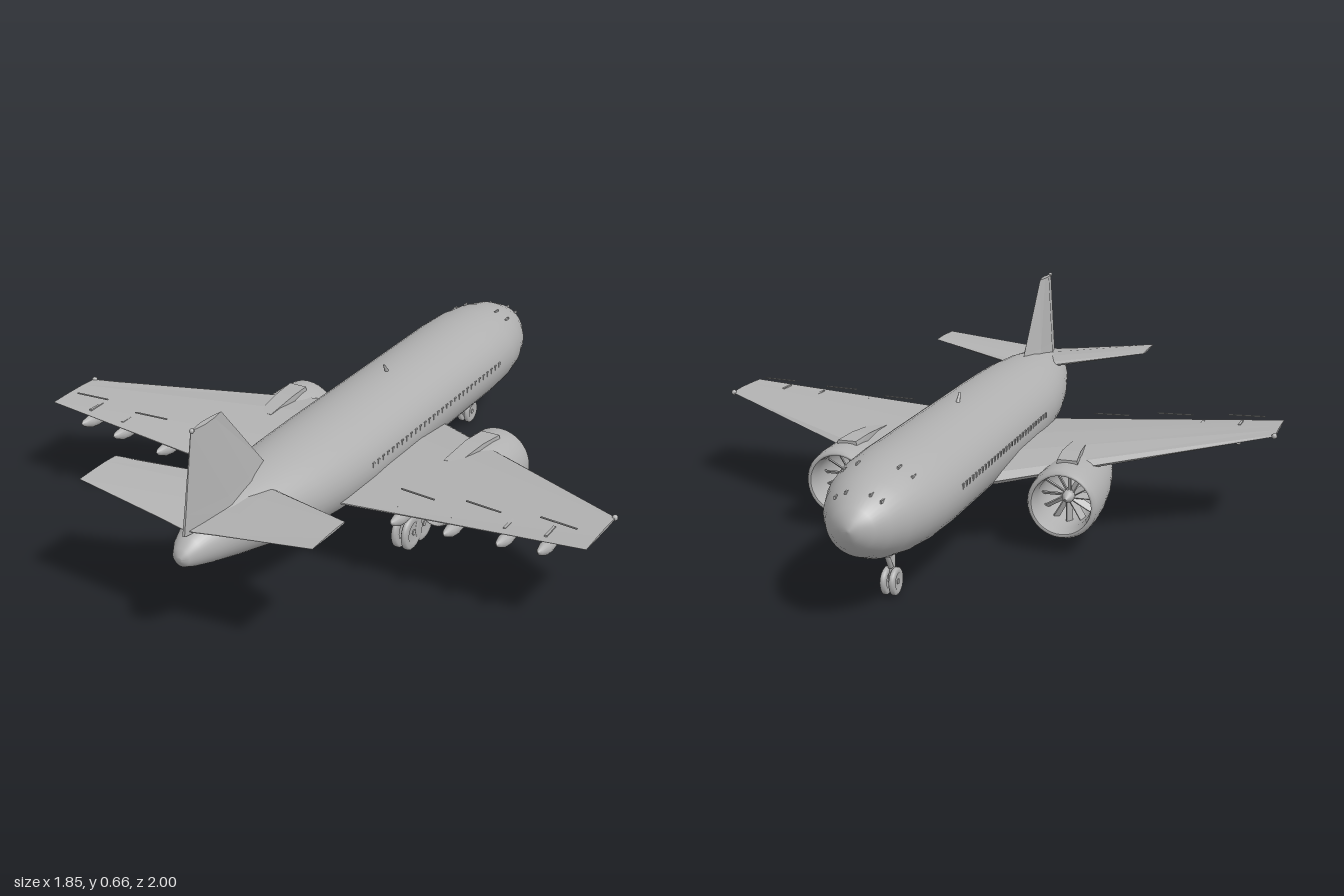
import * as THREE from 'three';

const grey = new THREE.MeshStandardMaterial({ color: 0xb0b0b0, side: THREE.DoubleSide });
grey.name = 'plain grey';
const greyFlat = grey; // one colour throughout; faceted parts use unshared vertices

// Skin rings of equal point count; rings run counter-clockwise about the advance direction
function loft(rings, flat) {
  const n = rings[0].length, pos = [], idx = [];
  rings.forEach(r => r.forEach(p => pos.push(...p)));
  for (let i = 0; i < rings.length - 1; i++) {
    for (let j = 0; j < n; j++) {
      const a = i * n + j, b = i * n + (j + 1) % n;
      idx.push(a, b, a + n, b, b + n, a + n);
    }
  }
  const last = (rings.length - 1) * n;
  for (let j = 1; j < n - 1; j++) idx.push(0, j + 1, j, last, last + j, last + j + 1);
  let g = new THREE.BufferGeometry();
  g.setAttribute('position', new THREE.Float32BufferAttribute(pos, 3));
  g.setIndex(idx);
  if (flat) g = g.toNonIndexed();
  g.computeVertexNormals();
  return g;
}

function add(parent, name, geo, x = 0, y = 0, z = 0) {
  const m = new THREE.Mesh(geo, greyFlat);
  m.name = name;
  m.position.set(x, y, z);
  parent.add(m);
  return m;
}

// Straight rod between two points
function rod(parent, name, a, b, r, r2 = r) {
  const A = new THREE.Vector3(...a), B = new THREE.Vector3(...b);
  const d = B.clone().sub(A);
  const m = add(parent, name, new THREE.CylinderGeometry(r2, r, d.length(), 10));
  m.position.copy(A).add(B).multiplyScalar(0.5);
  m.quaternion.setFromUnitVectors(new THREE.Vector3(0, 1, 0), d.normalize());
  return m;
}

// Chord fraction and thickness fraction around an aerofoil
const foil = [[0, 0], [0.05, 0.55], [0.3, 1], [0.62, 0.75], [1, 0.06], [1, -0.06], [0.62, -0.55], [0.3, -0.8], [0.05, -0.5]];
// Wing section at x: leading edge z/y, trailing edge z/y, half thickness
const wingRing = ([x, z0, y0, z1, y1, t]) =>
  foil.map(([c, h]) => [x, y0 + (y1 - y0) * c + h * t, z0 + (z1 - z0) * c]);
const mirrored = list => [...list.map(([x, ...r]) => [-x, ...r]), ...list.slice().reverse()];

function wheel(parent, name, x, y, z, r, w) {
  const profile = [[0, -w * 0.35], [r * 0.55, -w * 0.35], [r * 0.6, -w / 2], [r * 0.88, -w / 2], [r, -w * 0.25],
    [r, w * 0.25], [r * 0.88, w / 2], [r * 0.6, w / 2], [r * 0.55, w * 0.35], [0, w * 0.35]];
  const m = add(parent, name, new THREE.LatheGeometry(profile.map(p => new THREE.Vector2(...p)), 28), x, y, z);
  m.rotation.z = Math.PI / 2;
}

function buildEngine(s) {
  const e = new THREE.Group();
  e.name = 'engine';
  e.position.set(s * 0.357, 0.165, 0);
  e.rotation.x = Math.PI / 2 - 0.045;
  // Cowl: outer skin to the nozzle, then the duct back to the lip
  const cowl = [[0.092, -0.222], [0.1, -0.225], [0.107, -0.212], [0.11, -0.17], [0.108, -0.1], [0.098, 0], [0.082, 0.09],
    [0.052, 0.215], [0.046, 0.22], [0.044, 0.21], [0.066, 0.08], [0.084, -0.08], [0.084, -0.18], [0.092, -0.222]];
  add(e, 'cowl', new THREE.LatheGeometry(cowl.map(p => new THREE.Vector2(...p)), 36));
  add(e, 'fanHub', new THREE.CylinderGeometry(0.02, 0.018, 0.05, 16), 0, -0.12, 0);
  add(e, 'spinner', new THREE.ConeGeometry(0.018, 0.03, 16), 0, -0.16, 0).rotation.x = Math.PI;
  for (let i = 0; i < 12; i++) {
    const arm = new THREE.Group();
    arm.name = 'fanBlade';
    arm.rotation.y = i * Math.PI / 6;
    add(arm, 'blade', new THREE.BoxGeometry(0.07, 0.024, 0.004), 0.05, -0.12, 0).rotation.x = 0.6;
    e.add(arm);
  }
  return e;
}

export function createModel() {
  const plane = new THREE.Group();
  plane.name = 'airliner';

  // Fuselage stations: z, centre height, half width, half height
  const stations = [[-1, 0.28, 0.004, 0.004], [-0.992, 0.28, 0.03, 0.032], [-0.97, 0.277, 0.062, 0.06], [-0.93, 0.276, 0.094, 0.088],
    [-0.87, 0.277, 0.126, 0.113], [-0.79, 0.279, 0.153, 0.129], [-0.7, 0.28, 0.169, 0.137], [-0.58, 0.28, 0.175, 0.14],
    [0.25, 0.28, 0.175, 0.14], [0.4, 0.285, 0.17, 0.134], [0.52, 0.291, 0.159, 0.127], [0.65, 0.299, 0.137, 0.114],
    [0.8, 0.309, 0.1, 0.09], [0.9, 0.311, 0.07, 0.066], [0.96, 0.309, 0.046, 0.046], [0.99, 0.304, 0.028, 0.028], [1, 0.302, 0.008, 0.008]];
  add(plane, 'fuselage', loft(stations.map(([z, cy, rx, ry]) => Array.from({ length: 40 }, (_, i) => {
    const a = i / 40 * Math.PI * 2;
    return [Math.cos(a) * rx, cy + Math.sin(a) * ry, z];
  }))));

  // Main wing and tailplane, each one span from tip to tip
  add(plane, 'wing', loft(mirrored([[0.92, 0.205, 0.305, 0.413, 0.307, 0.005], [0.15, -0.245, 0.215, 0.43, 0.245, 0.036]]).map(wingRing), true));
  add(plane, 'tailplane', loft(mirrored([[0.38, 0.77, 0.414, 0.935, 0.414, 0.004], [0.09, 0.66, 0.378, 0.95, 0.378, 0.016],
    [0.02, 0.66, 0.37, 0.957, 0.37, 0.016]]).map(wingRing), true));

  // Fin sections: height, leading z, trailing z, half thickness
  const fin = [[0.36, 0.53, 0.975, 0.046], [0.42, 0.59, 0.963, 0.038], [0.65, 0.78, 0.92, 0.009]];
  add(plane, 'fin', loft(fin.map(([y, z0, z1, t]) =>
    [[1, 0.08], [0.6, 1], [0.3, 0.75], [0, 0], [0.3, -0.75], [0.6, -1], [1, -0.08]].map(([c, h]) => [h * t, y, z0 + (z1 - z0) * c])), true));
  add(plane, 'finLight', new THREE.SphereGeometry(0.007, 10, 8), 0, 0.649, 0.915);

  for (const s of [-1, 1]) {
    plane.add(buildEngine(s));

    // Pylon joining cowl and wing: z, bottom, top, half width
    const pylon = [[-0.15, 0.255, 0.275, 0.034], [-0.06, 0.22, 0.28, 0.032], [0.08, 0.22, 0.272, 0.026]];
    add(plane, 'pylon', loft(pylon.map(([z, lo, hi, w], i) => {
      const cx = s * (0.345 + (1 - i) * 0.01);
      return [[cx + w, lo, z], [cx + w * 0.9, hi, z], [cx - w * 0.9, hi, z], [cx - w, lo, z]];
    }), true));

    // Flap fairings under the trailing edge
    [[0.33, 0.213], [0.5, 0.226], [0.665, 0.241], [0.79, 0.253]].forEach(([x, y]) => {
      const pod = new THREE.LatheGeometry([[0, -0.07], [0.011, -0.05], [0.02, 0], [0.02, 0.03], [0.011, 0.06], [0, 0.075]]
        .map(p => new THREE.Vector2(...p)), 14);
      const m = add(plane, 'flapFairing', pod, s * x, y + 0.005, 0.365);
      m.rotation.x = Math.PI / 2 - 0.18;
      m.scale.x = 0.9;
      add(plane, 'fairingMount', new THREE.BoxGeometry(0.008, 0.05, 0.06), s * x, y + 0.025, 0.36);
    });

    // Thin spoiler strips and wing tip light
    [[0.37, 0.297], [0.58, 0.315], [0.81, 0.328]].forEach(([x, y]) => {
      const strip = add(plane, 'spoilerStrip', new THREE.BoxGeometry(0.115, 0.003, 0.005), s * x, y, 0.35);
      strip.rotation.y = -s * 0.09;
    });
    add(plane, 'tipLight', new THREE.SphereGeometry(0.009, 10, 8), s * 0.918, 0.306, 0.208);

    // Main gear: four wheels, bogie, legs and bay door
    const gear = new THREE.Group();
    gear.name = 'mainGear';
    for (const z of [0.115, 0.182]) {
      for (const x of [0.226, 0.26]) wheel(gear, 'mainWheel', s * x, 0.058, z, 0.057, 0.02);
      rod(gear, 'axle', [s * 0.216, 0.058, z], [s * 0.27, 0.058, z], 0.009);
    }
    rod(gear, 'bogie', [s * 0.243, 0.058, 0.115], [s * 0.243, 0.058, 0.182], 0.008);
    rod(gear, 'leg', [s * 0.243, 0.058, 0.148], [s * 0.243, 0.23, 0.148], 0.011);
    rod(gear, 'brace', [s * 0.243, 0.11, 0.148], [s * 0.243, 0.22, 0.06], 0.006);
    add(gear, 'gearBay', new THREE.BoxGeometry(0.1, 0.016, 0.12), s * 0.243, 0.198, 0.13);
    add(gear, 'bayDoor', new THREE.BoxGeometry(0.004, 0.05, 0.1), s * 0.197, 0.178, 0.13).rotation.z = s * 0.3;
    plane.add(gear);

    // Cabin windows and cockpit frame bars
    for (let i = 0; i < 30; i++) {
      add(plane, 'cabinWindow', new THREE.BoxGeometry(0.004, 0.016, 0.01), s * 0.173, 0.3, -0.58 + i * 0.029);
    }
    for (const [x, y, z] of [[0.035, 0.362, -0.92], [0.065, 0.346, -0.92], [0.06, 0.4, -0.78], [0.1, 0.378, -0.78]]) {
      add(plane, 'cockpitBar', new THREE.BoxGeometry(0.005, 0.008, 0.024), s * x, y, z);
    }
    rod(plane, 'bellyAerial', [s * 0.03, 0.15, -0.2], [s * 0.036, 0.13, -0.19], 0.003);
    wheel(plane, 'noseWheel', s * 0.013, 0.042, -0.695, 0.04, 0.017);
  }

  // Nose gear legs and top aerial
  rod(plane, 'noseAxle', [-0.022, 0.042, -0.695], [0.022, 0.042, -0.695], 0.008);
  rod(plane, 'noseLeg', [0, 0.042, -0.695], [0, 0.16, -0.68], 0.009);
  rod(plane, 'noseBrace', [0, 0.085, -0.7], [0, 0.16, -0.75], 0.008);
  add(plane, 'noseBay', new THREE.BoxGeometry(0.045, 0.012, 0.11), 0, 0.14, -0.71);
  rod(plane, 'topAerial', [0, 0.415, -0.12], [0, 0.446, -0.1], 0.007, 0.003);

  return plane;
}
